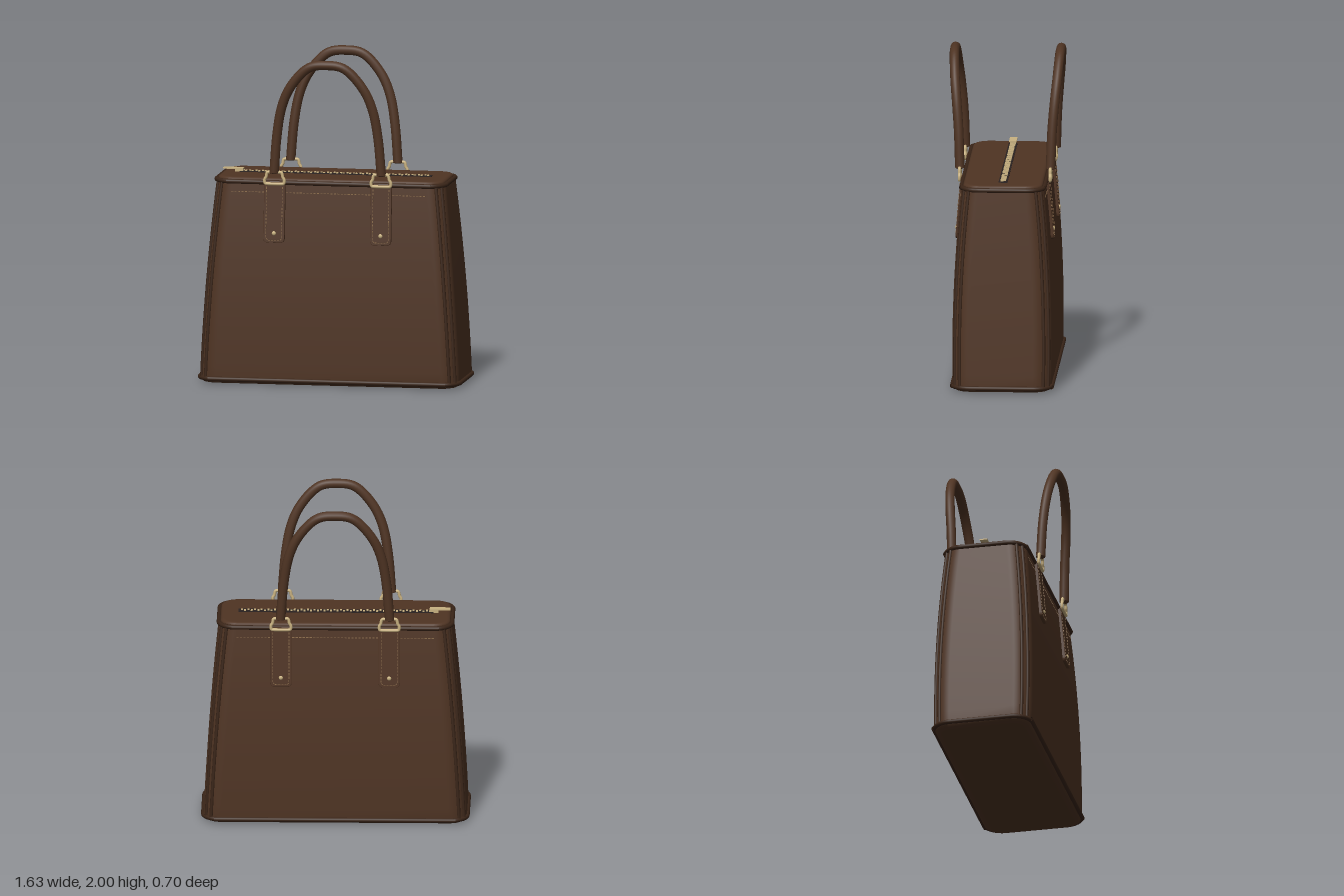
import * as THREE from 'three';
import { mergeGeometries } from 'three/addons/utils/BufferGeometryUtils.js';

const mat = (name, color, side = THREE.FrontSide) => {
  const m = new THREE.MeshStandardMaterial({ color, side });
  m.name = name;
  return m;
};
const leather = mat('brown leather', 0x4f3423);
const trim = mat('dark leather piping', 0x3a2518);
const brass = mat('pale brass', 0xc9b281);
const thread = mat('tan thread', 0x8a6b4a);
const tape = mat('zip tape', 0x2a2220);

const V = (x, y, z) => new THREE.Vector3(x, y, z);
const TOP = 1.235;
// half width and half depth of the bag at height y
const halfX = (y) => { const t = y / TOP; return 0.8 - 0.055 * t - 0.04 * t * t; };
const halfZ = (y) => { const t = y / TOP; return 0.3 + 0.03 * t - 0.08 * t * t; };
const RADIUS = 0.11;

function mesh(name, geo, material, parent) {
  const m = new THREE.Mesh(geo, material);
  m.name = name;
  parent.add(m);
  return m;
}

// rounded rectangle cross-section, inset from the bag surface
function section(y, inset = 0, surfaceY = y, scale = 1) {
  const hx = halfX(surfaceY) - inset, hz = halfZ(surfaceY) - inset;
  const r = Math.max(RADIUS - inset, 0.02), pts = [];
  const signs = [[1, 1], [-1, 1], [-1, -1], [1, -1]];
  signs.forEach(([sx, sz], k) => {
    for (let i = 0; i <= 10; i++) {
      const a = (k + i / 10) * Math.PI / 2;
      pts.push(V((sx * (hx - r) + r * Math.cos(a)) * scale, y, (sz * (hz - r) + r * Math.sin(a)) * scale));
    }
  });
  return pts;
}

function loft(rings) {
  const n = rings[0].length, pos = [], index = [];
  rings.forEach((ring) => ring.forEach((p) => pos.push(p.x, p.y, p.z)));
  for (let i = 0; i < rings.length - 1; i++) {
    for (let j = 0; j < n; j++) {
      const a = i * n + j, b = i * n + (j + 1) % n;
      index.push(a, a + n, b, b, a + n, b + n);
    }
  }
  const g = new THREE.BufferGeometry();
  g.setAttribute('position', new THREE.Float32BufferAttribute(pos, 3));
  g.setIndex(index);
  g.computeVertexNormals();
  return g;
}

const tube = (pts, r, seg, closed = false, tension = 0.5) =>
  new THREE.TubeGeometry(new THREE.CatmullRomCurve3(pts, closed, 'catmullrom', tension), seg, r, 12, closed);

// point on the bag corner at angle a
function cornerPoint(y, a, sx, sz) {
  return V(sx * (halfX(y) - RADIUS + RADIUS * Math.cos(a)), y, sz * (halfZ(y) - RADIUS + RADIUS * Math.sin(a)));
}

// run of stitches along a polyline in the front face, lifted off by the given amount
function stitches(points, lift, length = 0.013, step = 0.021) {
  const parts = [];
  for (let k = 0; k < points.length - 1; k++) {
    const [x0, y0] = points[k], [x1, y1] = points[k + 1];
    const d = Math.hypot(x1 - x0, y1 - y0), n = Math.round(d / step);
    for (let i = 0; i < n; i++) {
      const t = (i + 0.5) / n, x = x0 + (x1 - x0) * t, y = y0 + (y1 - y0) * t;
      const g = new THREE.BoxGeometry(length, 0.004, 0.004);
      g.rotateZ(Math.atan2(y1 - y0, x1 - x0));
      g.translate(x, y, halfZ(y) + lift);
      parts.push(g);
    }
  }
  return mergeGeometries(parts);
}

function strapGeometry() {
  const w = 0.062, b = 0.875, t = 1.24, r = 0.025, s = new THREE.Shape();
  s.moveTo(-w, t);
  s.lineTo(-w, b + r);
  s.quadraticCurveTo(-w, b, -w + r, b);
  s.lineTo(w - r, b);
  s.quadraticCurveTo(w, b, w, b + r);
  s.lineTo(w, t);
  const g = new THREE.ExtrudeGeometry(s, {
    depth: 0.014, bevelEnabled: true, bevelSize: 0.003, bevelThickness: 0.004, bevelSegments: 2, curveSegments: 6,
  });
  const p = g.attributes.position;
  for (let i = 0; i < p.count; i++) p.setZ(i, p.getZ(i) + halfZ(p.getY(i)));
  g.computeVertexNormals();
  return g;
}

// handle, buckles, straps and stitching of one face
function buildFace() {
  const face = new THREE.Group();
  const half = [[0.33, 1.3, 0.275], [0.312, 1.52, 0.283], [0.28, 1.7, 0.297], [0.22, 1.835, 0.31], [0.115, 1.948, 0.319]];
  const path = [
    ...half.map(([x, y, z]) => V(-x, y, z)), V(0, 1.97, 0.321),
    ...half.slice().reverse().map(([x, y, z]) => V(x, y, z)),
  ];
  mesh('handle', tube(path, 0.029, 80), leather, face);

  for (const s of [-1, 1]) {
    const x = s * 0.328;
    const end = mesh('handleEnd', new THREE.SphereGeometry(0.029, 16, 10), leather, face);
    end.position.set(s * 0.33, 1.3, 0.275);
    end.scale.y = 0.3;

    // brass link, narrower above
    const link = [[-0.05, 1.23], [0.05, 1.23], [0.06, 1.24], [0.06, 1.256], [0.051, 1.272], [0.047, 1.292],
      [0.037, 1.301], [-0.037, 1.301], [-0.047, 1.292], [-0.051, 1.272], [-0.06, 1.256], [-0.06, 1.24]];
    mesh('handleLink', tube(link.map(([a, y]) => V(x + a, y, 0.275)), 0.0095, 72, true, 0.3), brass, face);

    mesh('strap', strapGeometry(), leather, face).position.x = x;
    const w = 0.049;
    mesh('strapStitching', stitches([[-w, 1.215], [-w, 0.9], [-w + 0.012, 0.888], [w - 0.012, 0.888], [w, 0.9], [w, 1.215]], 0.018),
      thread, face).position.x = x;

    const rivet = mesh('rivet', new THREE.SphereGeometry(0.013, 16, 10), brass, face);
    rivet.position.set(x, 0.93, halfZ(0.93) + 0.018);
    rivet.scale.z = 0.6;
  }
  const e = halfX(1.175) - RADIUS;
  mesh('topStitching', stitches([[-e, 1.175], [e, 1.175]], 0.001), thread, face);
  return face;
}

function buildZip(parent) {
  const zip = new THREE.Group();
  zip.name = 'zip';
  parent.add(zip);
  mesh('zipTape', new THREE.BoxGeometry(1.18, 0.006, 0.054), tape, zip).position.y = 1.261;
  // interlocking teeth
  const teeth = [];
  for (let i = 0; i < 58; i++) {
    const g = new THREE.BoxGeometry(0.012, 0.007, 0.018);
    g.translate(-0.57 + i * 0.02, 1.266, i % 2 ? 0.008 : -0.008);
    teeth.push(g);
  }
  mesh('zipTeeth', mergeGeometries(teeth), brass, zip);
  mesh('zipSlider', new THREE.BoxGeometry(0.05, 0.018, 0.036), brass, zip).position.set(-0.595, 1.269, 0);
  mesh('zipPull', new THREE.BoxGeometry(0.125, 0.007, 0.046), brass, zip).position.set(-0.63, 1.279, 0);
}

export function createModel() {
  const bag = new THREE.Group();
  bag.name = 'handbag';

  // body: rounded base edge and softly curved sides
  const rings = [section(0, 0.045, 0, 0.001), section(0, 0.05), section(0, 0.045), section(0.005, 0.022), section(0.015, 0.006)];
  for (let i = 0; i <= 16; i++) rings.push(section(0.03 + (TOP - 0.03) * i / 16));
  mesh('body', loft(rings), leather, bag);

  // lid panel with a rounded rim
  mesh('lid', loft([section(1.225, 0.008, TOP), section(1.245, 0.008, TOP), section(1.254, 0.013, TOP), section(1.259, 0.022, TOP),
    section(1.26, 0.032, TOP), section(1.26, 0.037, TOP), section(1.26, 0.037, TOP, 0.001)]), leather, bag);

  // piping around base and rim
  for (const [name, y] of [['basePiping', 0.03], ['rimPiping', TOP]]) {
    mesh(name, tube(section(y, -0.001), 0.014, 220, true, 0.2), trim, bag);
  }

  // paired piping down each corner
  for (const sx of [-1, 1]) for (const sz of [-1, 1]) for (const a of [0.6, 0.97]) {
    const pts = [];
    for (let i = 0; i <= 8; i++) pts.push(cornerPoint(0.03 + (TOP - 0.03) * i / 8, a, sx, sz));
    mesh('cornerPiping', tube(pts, 0.011, 24), trim, bag);
  }

  const front = buildFace(), back = buildFace();
  front.name = 'frontFittings';
  back.name = 'backFittings';
  back.rotation.y = Math.PI;
  bag.add(front, back);

  buildZip(bag);
  return bag;
}
